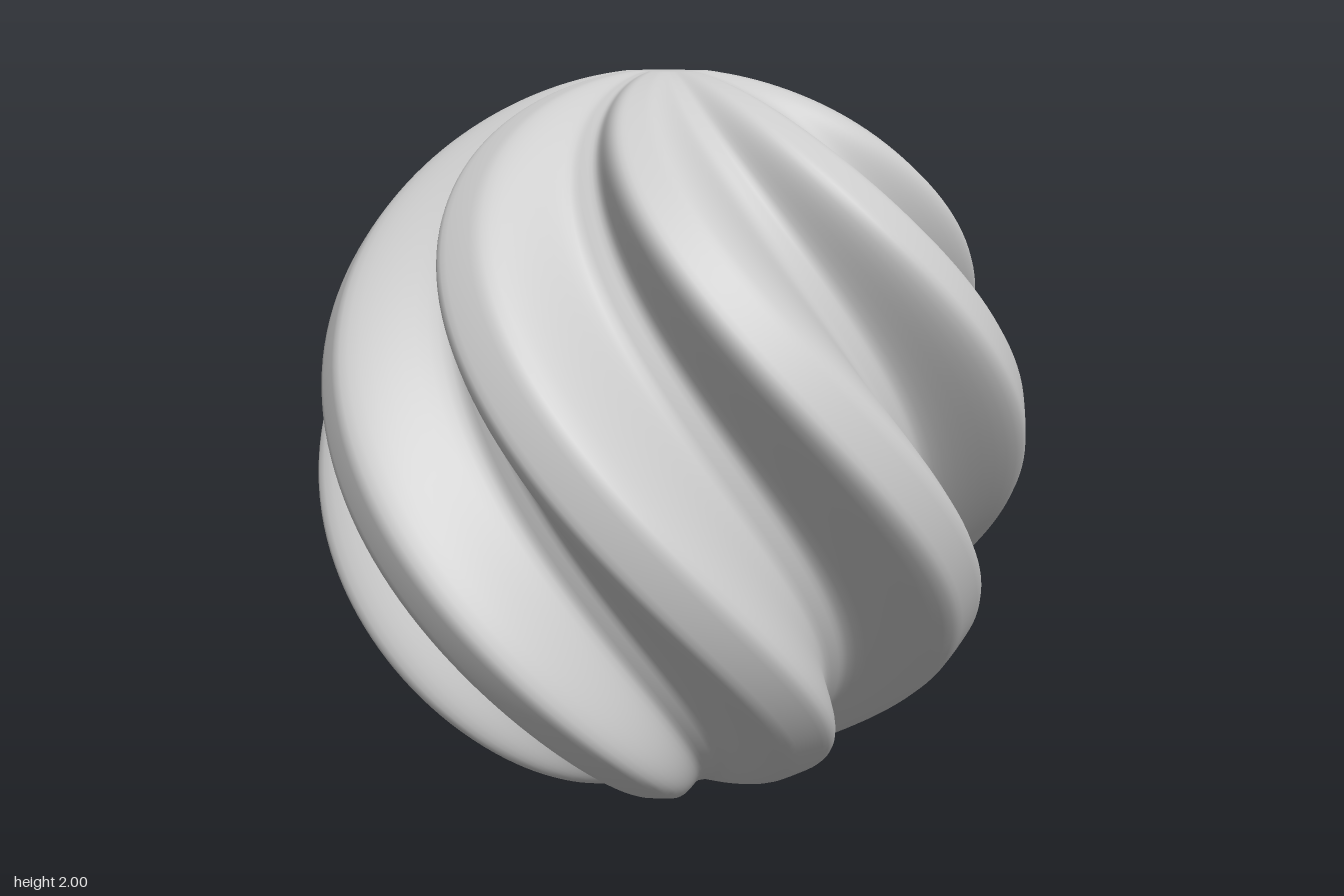
import * as THREE from 'three';

const LOBES = 8, AROUND = 256, ROWS = 100;
const DEPTH = 0.25;                               // groove depth as a share of the radius
const TWIST = THREE.MathUtils.degToRad(54);       // twist per unit of height
const PHASE = THREE.MathUtils.degToRad(34.4);     // lobe centre at mid height
const PITCH = (2 * Math.PI) / LOBES;

// broad rounded lobes with steep-sided grooves; a = angle from a lobe centre
function lobe(a) {
  const t = Math.abs(a / PITCH - Math.round(a / PITCH)) * 2;
  return 1 - DEPTH * THREE.MathUtils.smoothstep(t, 0.18, 0.88);
}

// one twisted star-shaped slice of the sphere at height u (-1..1)
function slice(u) {
  const radius = 0.985 * Math.sqrt(1 - (u / 1.007) ** 2);
  const points = [];
  for (let i = 0; i < AROUND; i++) {
    const a = (i / AROUND) * 2 * Math.PI;
    const r = radius * lobe(a);
    const angle = a + PHASE - TWIST * u;
    points.push(r * Math.sin(angle), u + 1, r * Math.cos(angle));
  }
  return points;
}

function makeMesh(name, positions, index, material) {
  const geometry = new THREE.BufferGeometry();
  geometry.setAttribute('position', new THREE.Float32BufferAttribute(positions, 3));
  geometry.setIndex(index);
  geometry.computeVertexNormals();
  const mesh = new THREE.Mesh(geometry, material);
  mesh.name = name;
  return mesh;
}

export function createModel() {
  const group = new THREE.Group();
  group.name = 'twistedSphere';
  const material = new THREE.MeshStandardMaterial({ color: 0xcccccc });

  // fluted body: slices from bottom to top, closer together near the poles
  const positions = [], index = [];
  for (let j = 0; j <= ROWS; j++) positions.push(...slice(-Math.cos((j / ROWS) * Math.PI)));
  for (let j = 0; j < ROWS; j++) {
    for (let i = 0; i < AROUND; i++) {
      const n = (i + 1) % AROUND;
      const a = j * AROUND + i, b = j * AROUND + n;
      index.push(a, b, b + AROUND, a, b + AROUND, a + AROUND);
    }
  }
  group.add(makeMesh('flutedBody', positions, index, material));

  // flat star-shaped caps at both poles
  for (const u of [-1, 1]) {
    const rim = [...slice(u), 0, u + 1, 0];
    const fan = [];
    for (let i = 0; i < AROUND; i++) {
      const n = (i + 1) % AROUND;
      fan.push(AROUND, u > 0 ? i : n, u > 0 ? n : i);
    }
    group.add(makeMesh(u > 0 ? 'topCap' : 'bottomCap', rim, fan, material));
  }
  return group;
}
